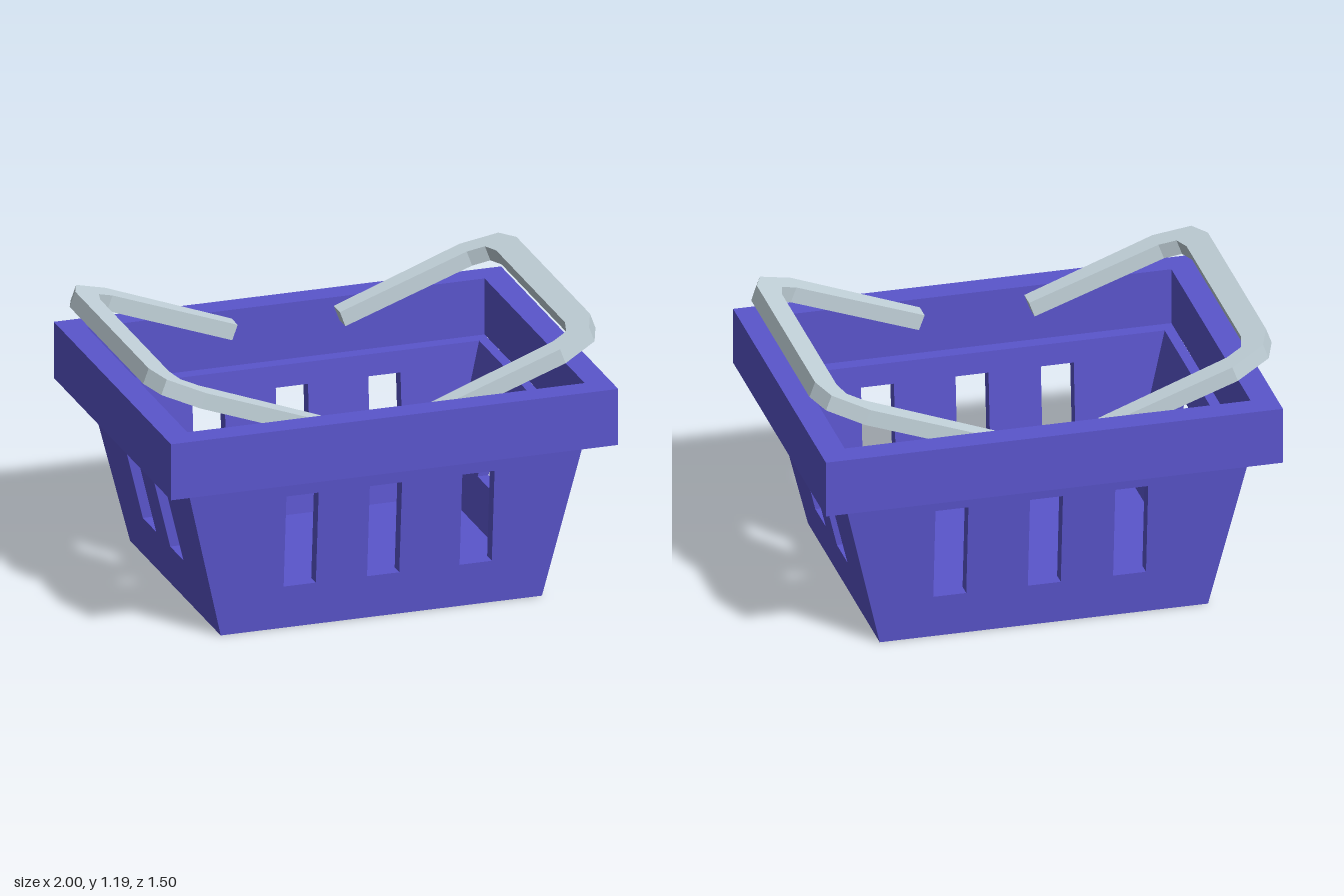
import * as THREE from 'three';

const purple = new THREE.MeshStandardMaterial({ color: 0x5a55cc, flatShading: true });
const pale = new THREE.MeshStandardMaterial({ color: 0xc4d4dc, flatShading: true });

const RIM_Y = 0.7, RIM_H = 0.25;

// Half-widths of the tapering tub at height y, as [base, slope]
const outer = { x: [0.7075, 0.239], z: [0.58, 0.0857] };
const inner = { x: [0.658, 0.246], z: [0.521, 0.0843] };
const at = ([base, slope], y) => base + slope * y;

function add(parent, name, geometry, material) {
  const mesh = new THREE.Mesh(geometry, material);
  mesh.name = name;
  parent.add(mesh);
  return mesh;
}

function rect(Type, x0, y0, x1, y1) {
  return new Type([[x0, y0], [x1, y0], [x1, y1], [x0, y1]].map(p => new THREE.Vector2(...p)));
}

// Sloped wall with slots, mitred at its ends; it faces +z
function wallGeometry(across, out, centres, slotW, y0, y1) {
  const b = at(outer[across], 0), t = at(outer[across], RIM_Y);
  const shape = new THREE.Shape([[-b, 0], [b, 0], [t, RIM_Y], [-t, RIM_Y]].map(p => new THREE.Vector2(...p)));
  for (const c of centres) shape.holes.push(rect(THREE.Path, c - slotW / 2, y0, c + slotW / 2, y1));
  const geo = new THREE.ExtrudeGeometry(shape, { depth: 1, bevelEnabled: false });
  const pos = geo.attributes.position;
  for (let i = 0; i < pos.count; i++) {
    const y = pos.getY(i), isOuter = pos.getZ(i) > 0.5;
    const side = isOuter ? outer : inner;
    const limit = at(side[across], y);
    pos.setX(i, THREE.MathUtils.clamp(pos.getX(i), -limit, limit));
    pos.setZ(i, at(side[out], y));
  }
  geo.computeVertexNormals();
  return geo;
}

// U-shaped carrying handle, tilted upwards towards +x
function handleGeometry() {
  const tilt = 0.353, thickness = 0.07, startX = 0.225;
  const outline = [[startX, 0.638], [0.78, 0.645], [0.93, 0.58], [0.972, 0.47]];
  const inside = [[0.872, 0.44], [0.85, 0.52], [0.78, 0.55], [startX, 0.56]];
  const half = [...outline, null, ...inside];
  const cut = half.indexOf(null);
  const mirrored = list => list.map(([x, z]) => [x, -z]).reverse();
  const points = [...half.slice(0, cut), ...mirrored(outline), ...mirrored(inside), ...half.slice(cut + 1)];
  const shape = new THREE.Shape(points.map(([x, z]) => new THREE.Vector2((x - startX) / Math.cos(tilt), z)));
  const geo = new THREE.ExtrudeGeometry(shape, { depth: thickness, bevelEnabled: false });
  return geo.rotateX(Math.PI / 2).rotateZ(tilt).translate(startX, 0.912, 0);
}

export function createModel() {
  const model = new THREE.Group();
  model.name = 'shoppingBasket';

  // Tub: four slotted walls and a floor
  const tub = new THREE.Group();
  tub.name = 'tub';
  tub.position.x = 0.015;
  model.add(tub);
  const slots = [-0.365, 0.0025, 0.41];
  const sideSlots = [-0.175, 0.175];
  add(tub, 'frontWall', wallGeometry('x', 'z', slots, 0.142, 0.19, 0.605), purple);
  add(tub, 'backWall', wallGeometry('x', 'z', slots.map(c => -c), 0.142, 0.19, 0.605), purple)
    .rotation.y = Math.PI;
  add(tub, 'leftWall', wallGeometry('z', 'x', sideSlots, 0.17, 0.225, 0.58), purple)
    .rotation.y = Math.PI / 2;
  add(tub, 'rightWall', wallGeometry('z', 'x', sideSlots, 0.17, 0.225, 0.58), purple)
    .rotation.y = -Math.PI / 2;
  const floorH = 0.05;
  const floor = new THREE.BoxGeometry(2 * at(inner.x, floorH), floorH, 2 * at(inner.z, floorH));
  add(tub, 'floor', floor.translate(0, floorH / 2, 0), purple);

  // Rim: a rectangular frame standing on the tub's top edge
  const frame = rect(THREE.Shape, -0.985, -0.75, 0.985, 0.75);
  frame.holes.push(rect(THREE.Path, -0.875, -0.64, 0.875, 0.64));
  const rim = new THREE.ExtrudeGeometry(frame, { depth: RIM_H, bevelEnabled: false });
  add(tub, 'rim', rim.rotateX(-Math.PI / 2).translate(0, RIM_Y, 0), purple);

  // Pair of handles folded outwards
  add(model, 'leftHandle', handleGeometry(), pale);
  add(model, 'rightHandle', handleGeometry(), pale).rotation.y = Math.PI;

  return model;
}
